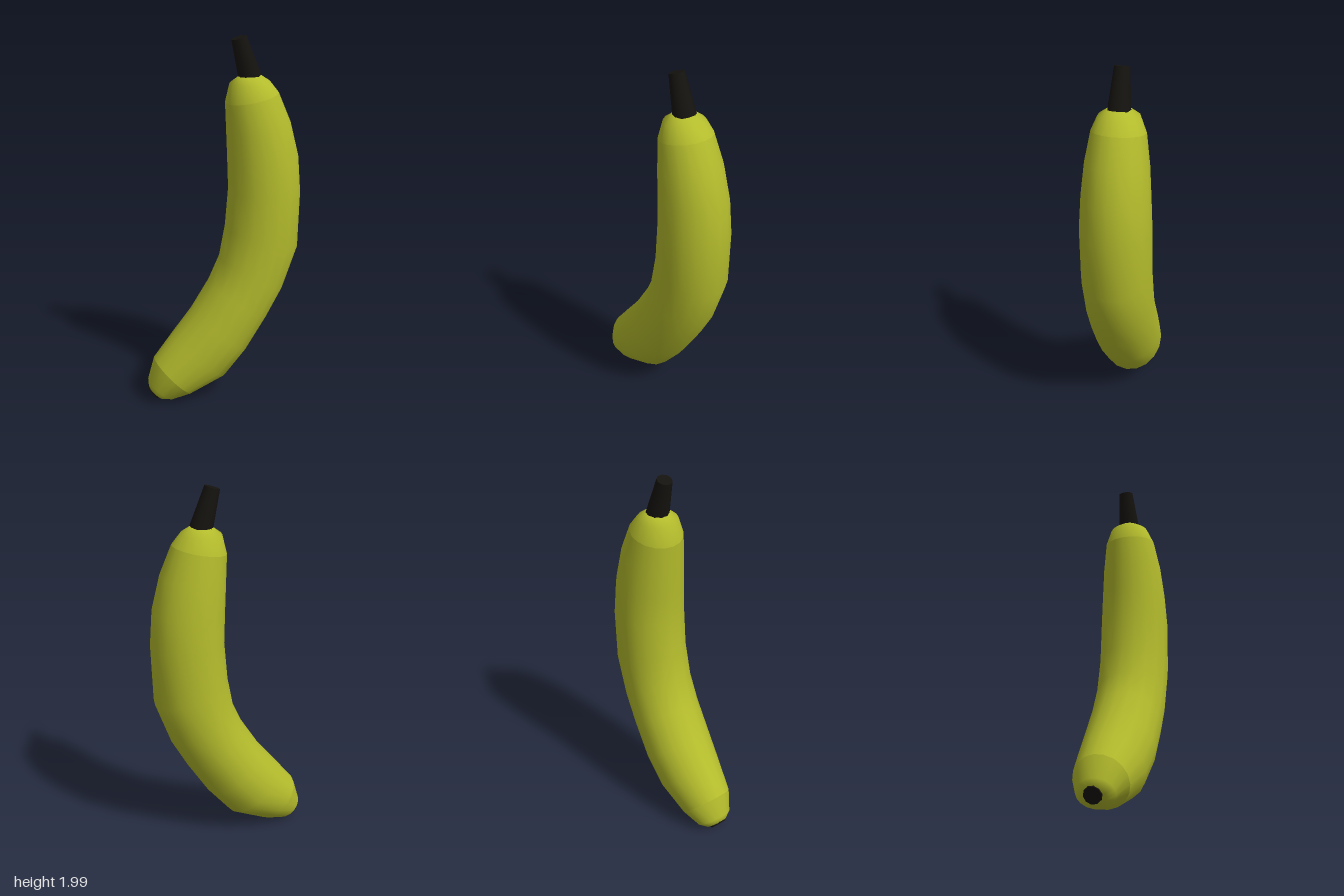
import * as THREE from 'three';

const SIDES = 18;
const peel = new THREE.MeshStandardMaterial({ color: 0xb4bc2c });
const dark = new THREE.MeshStandardMaterial({ color: 0x15130f });

// Cross-sections from top to bottom:
// inner edge x, y, outer edge x, y, half depth in z
const sections = [
  [0.147, 1.797, 0.147, 1.797, 0],
  [0.09, 1.793, 0.21, 1.795, 0.06],
  [0.043, 1.757, 0.255, 1.765, 0.106],
  [0.02, 1.655, 0.3, 1.71, 0.138],
  [0.027, 1.5, 0.366, 1.555, 0.163],
  [0.033, 1.35, 0.413, 1.37, 0.177],
  [0.039, 1.185, 0.428, 1.17, 0.187],
  [0.021, 0.98, 0.419, 0.856, 0.187],
  [-0.01, 0.81, 0.334, 0.617, 0.187],
  [-0.07, 0.676, 0.244, 0.453, 0.187],
  [-0.17, 0.517, 0.127, 0.267, 0.187],
  [-0.286, 0.374, 0.005, 0.119, 0.172],
  [-0.387, 0.245, -0.185, 0.03, 0.142],
  [-0.424, 0.12, -0.29, 0.006, 0.1],
  [-0.422, 0.08, -0.345, 0.006, 0.06],
  [-0.39, 0.04, -0.39, 0.04, 0],
];

// Skin a run of elliptical cross-sections
function skin(name, rows) {
  const pos = [], index = [];
  rows.forEach(([x0, y0, x1, y1, depth], j) => {
    for (let i = 0; i < SIDES; i++) {
      const a = (i / SIDES) * Math.PI * 2;
      const t = 0.5 + 0.5 * Math.cos(a);
      pos.push(x0 + (x1 - x0) * t, y0 + (y1 - y0) * t, depth * Math.sin(a));
      if (j === rows.length - 1) continue;
      const p = j * SIDES + i, q = j * SIDES + ((i + 1) % SIDES);
      index.push(p, q, p + SIDES, q, q + SIDES, p + SIDES);
    }
  });
  const geo = new THREE.BufferGeometry();
  geo.setAttribute('position', new THREE.Float32BufferAttribute(pos, 3));
  geo.setIndex(index);
  geo.computeVertexNormals();
  const mesh = new THREE.Mesh(geo, peel);
  mesh.name = name;
  return mesh;
}

// Tapered cylinder running between two points
function taper(name, from, to, r0, r1) {
  const a = new THREE.Vector3(...from), b = new THREE.Vector3(...to);
  const dir = b.clone().sub(a);
  const mesh = new THREE.Mesh(new THREE.CylinderGeometry(r1, r0, dir.length(), 10), dark);
  mesh.position.copy(a).add(b).multiplyScalar(0.5);
  mesh.quaternion.setFromUnitVectors(new THREE.Vector3(0, 1, 0), dir.normalize());
  mesh.name = name;
  return mesh;
}

export function createModel() {
  const group = new THREE.Group();
  group.name = 'banana';
  // Separate runs leave a crease at each seam
  group.add(
    skin('upperCap', sections.slice(0, 4)),
    skin('body', sections.slice(3, 13)),
    skin('lowerCap', sections.slice(12)),
    taper('stem', [0.149, 1.785, 0], [0.088, 1.99, 0], 0.06, 0.04),
    taper('blossomTip', [-0.36, 0.075, 0], [-0.4, 0.043, 0], 0.055, 0.045),
  );
  return group;
}
